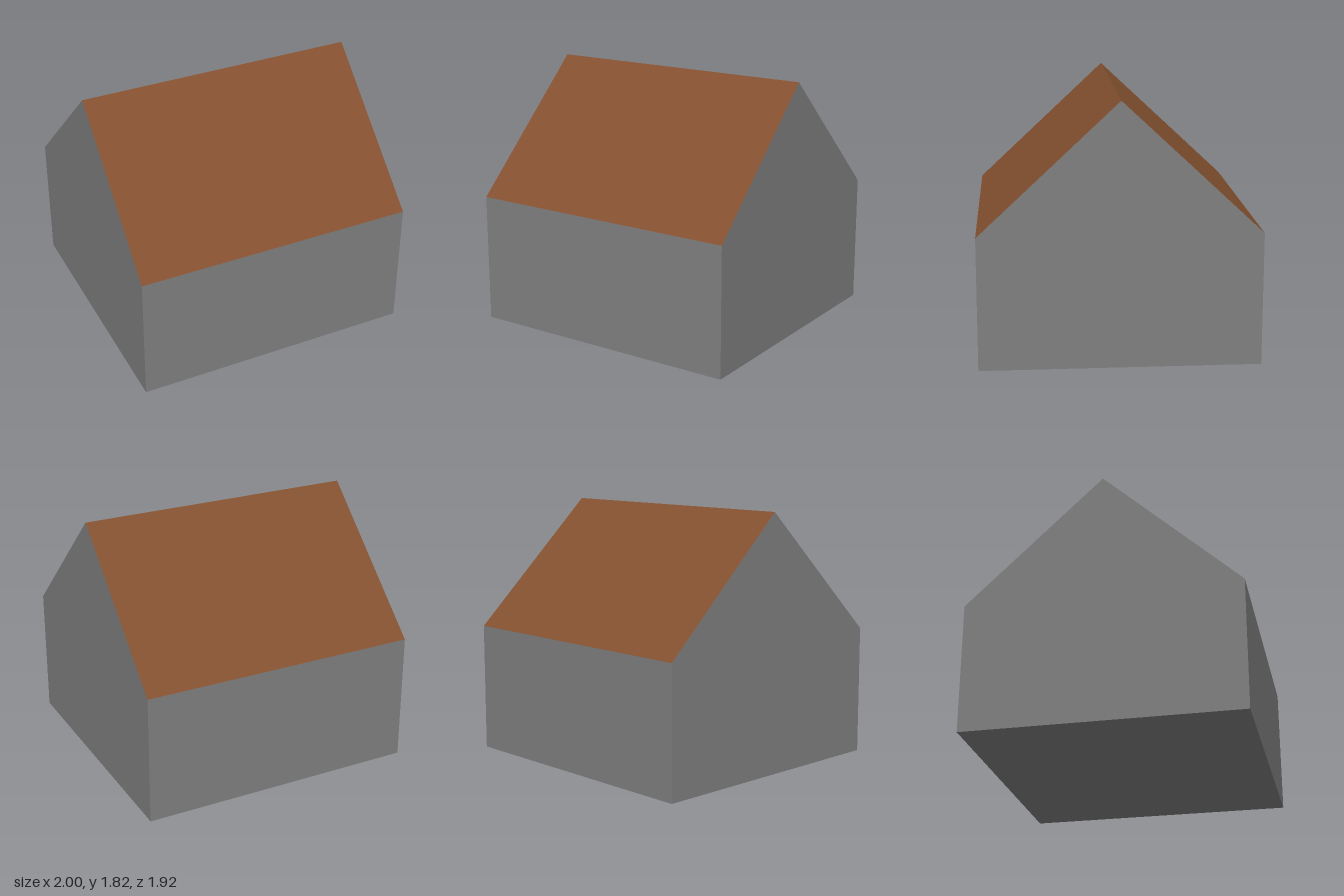
import * as THREE from 'three';

export function createModel() {
  const model = new THREE.Group();
  model.name = 'house';

  const wallGrey = new THREE.MeshStandardMaterial({ color: 0x808080 });
  wallGrey.name = 'wall grey';
  const roofBrown = new THREE.MeshStandardMaterial({ color: 0x845131 });
  roofBrown.name = 'roof brown';

  const length = 2, halfDepth = 0.96, eaves = 0.92, ridge = 1.82;

  // House cross-section as (z, y), from the front foot over the ridge to the back foot
  const profile = [
    [halfDepth, 0], [halfDepth, eaves], [0, ridge], [-halfDepth, eaves], [-halfDepth, 0],
  ].map(([z, y]) => new THREE.Vector2(z, y));

  function add(name, geometry, material) {
    const mesh = new THREE.Mesh(geometry, material);
    mesh.name = name;
    model.add(mesh);
    return mesh;
  }

  // One flat panel along the house for each edge of the cross-section
  const panels = [
    ['frontWall', wallGrey], ['frontRoof', roofBrown], ['backRoof', roofBrown],
    ['backWall', wallGrey], ['floor', wallGrey],
  ];
  panels.forEach(([name, material], i) => {
    const a = profile[i], b = profile[(i + 1) % profile.length];
    const panel = add(name, new THREE.PlaneGeometry(length, a.distanceTo(b)), material);
    panel.rotation.x = Math.atan2(b.x - a.x, b.y - a.y);
    panel.position.set(0, (a.y + b.y) / 2, (a.x + b.x) / 2);
  });

  // Gable walls closing both ends
  for (const side of [1, -1]) {
    const gable = add(side > 0 ? 'leftGable' : 'rightGable',
      new THREE.ShapeGeometry(new THREE.Shape(profile)), wallGrey);
    gable.rotation.y = side * Math.PI / 2;
    gable.position.x = side * length / 2;
  }

  return model;
}
